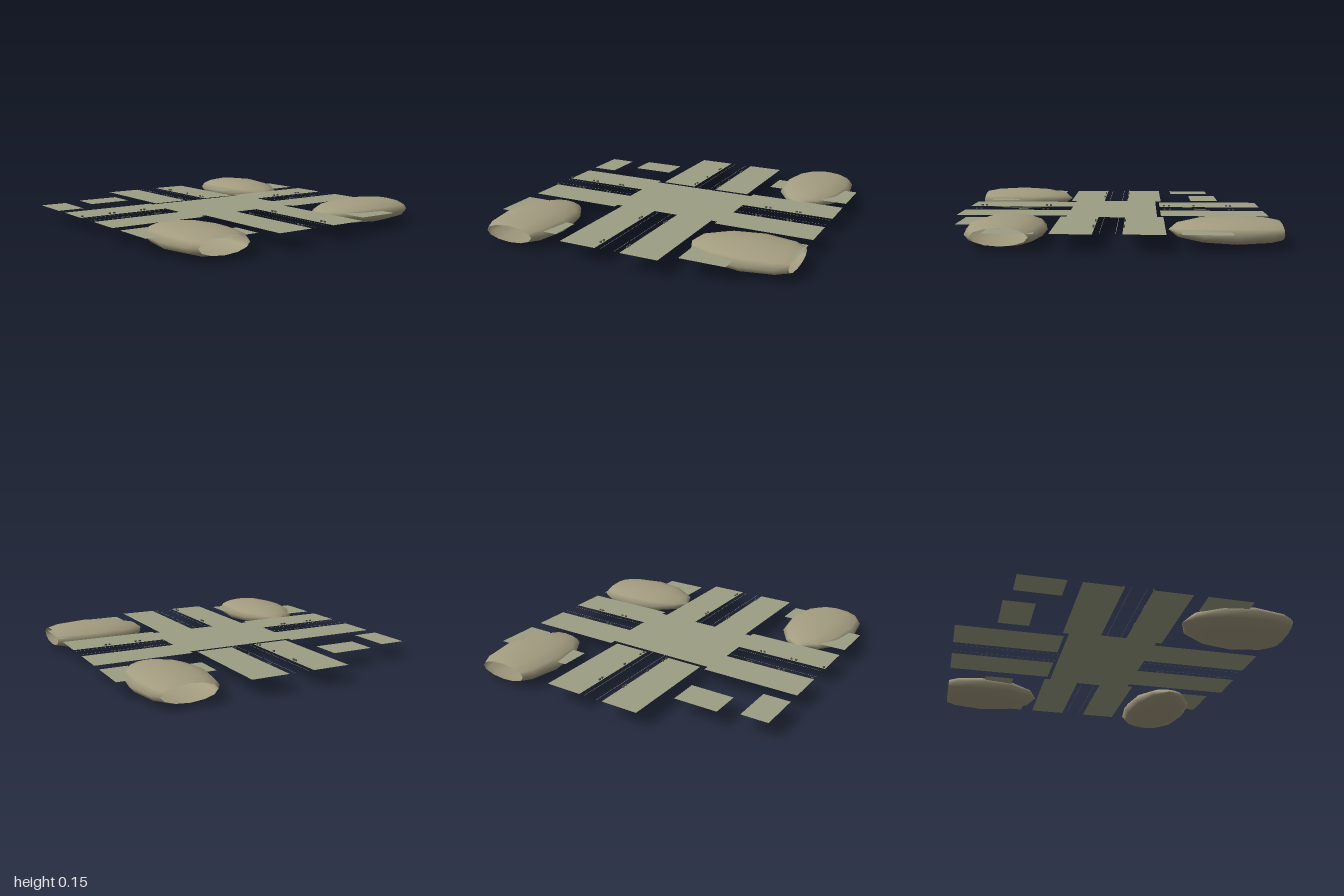
import * as THREE from 'three';

const GROUND = 0.1; // height of the paved sheets
const paving = new THREE.MeshStandardMaterial({ color: 0x9c9e84, side: THREE.DoubleSide });
const foliage = new THREE.MeshStandardMaterial({ color: 0xa39c80, side: THREE.DoubleSide });
const dark = new THREE.MeshStandardMaterial({ color: 0x55564a });

export function createModel() {
  const model = new THREE.Group();
  const add = (name, geometry, material) => {
    const mesh = new THREE.Mesh(geometry, material);
    mesh.name = name;
    model.add(mesh);
    return mesh;
  };

  // Flat rectangle given by its x and z limits
  const sheet = (name, x0, x1, z0, z1) => {
    const g = new THREE.PlaneGeometry(x1 - x0, z1 - z0).rotateX(-Math.PI / 2);
    add(name, g, paving).position.set((x0 + x1) / 2, GROUND, (z0 + z1) / 2);
  };

  // Crossing in the middle, with a tab towards each side street
  sheet('crossing', -0.367, 0.364, -0.29, 0.285);
  sheet('crossingTabLeft', 0.364, 0.387, -0.087, 0.08);
  sheet('crossingTabRight', -0.39, -0.367, -0.087, 0.08);

  // Paired strips of the four streets
  for (const [z0, z1] of [[-1, -0.315], [0.285, 1]]) {
    sheet('streetStrip', -0.328, -0.085, z0, z1);
    sheet('streetStrip', 0.08, 0.324, z0, z1);
  }
  for (const [x0, x1] of [[-1, -0.367], [0.364, 1]]) {
    sheet('sideStreetStrip', x0, x1, -0.33, -0.087);
    sheet('sideStreetStrip', x0, x1, 0.08, 0.322);
  }

  // Two separate plots in each corner block
  for (const [z0, z1, z2, z3] of [[-0.7, -0.417, -0.745, -0.55], [0.41, 0.697, 0.72, 0.918]]) {
    sheet('outerPlot', -1, -0.825, z0, z1);
    sheet('outerPlot', 0.825, 1, z0, z1);
    sheet('innerPlot', -0.7, -0.415, z2, z3);
    sheet('innerPlot', 0.41, 0.697, z2, z3);
  }

  // Flattened spheroids, pointed inwards and cut open at the outer border
  const makeMound = (x, z, turn, cut) => {
    const R = 0.242, L = 0.39;
    const ring = (deg) => {
      const a = THREE.MathUtils.degToRad(deg);
      return new THREE.Vector2(R * Math.sin(a), L * Math.cos(a));
    };
    const last = ring(150), before = ring(120);
    const rim = before.clone().lerp(last, (before.y + cut) / (before.y - last.y));
    const profile = [rim, ring(120), ring(90), ring(60), ring(30), new THREE.Vector2(0, L)];
    const g = new THREE.LatheGeometry(profile, 12);
    g.scale(1, 1, 0.077 / R).rotateX(Math.PI / 2);
    const mound = add('mound', g, foliage);
    mound.position.set(x, 0.08, z);
    mound.rotation.y = turn;
  };
  makeMound(0.7, -0.74, 0, 0.26);
  makeMound(-0.703, 0.737, Math.PI, 0.263);
  makeMound(0.732, 0.6, -Math.PI / 2, 0.268);

  // Hairline kerbs that turn the four corners of the crossing
  const near = 0.0445, far = 0.998, r = 0.04, w = 0.0025;
  const kerb = new THREE.Shape();
  kerb.moveTo(near, far);
  kerb.lineTo(near, near + r);
  kerb.absarc(near + r, near + r, r, Math.PI, Math.PI * 1.5, false);
  kerb.lineTo(far, near);
  kerb.lineTo(far, near + w);
  kerb.lineTo(near + r, near + w);
  kerb.absarc(near + r, near + r, r - w, Math.PI * 1.5, Math.PI, true);
  kerb.lineTo(near + w, far);
  const kerbGeometry = new THREE.ShapeGeometry(kerb, 6).rotateX(-Math.PI / 2);
  for (let i = 0; i < 4; i++) {
    const line = add('kerbLine', kerbGeometry, paving);
    line.position.set(-0.003, GROUND + 0.001, -0.004);
    line.rotation.y = (i * Math.PI) / 2;
  }

  // Tiny street furniture along the strip edges
  const item = new THREE.BoxGeometry(0.008, 0.01, 0.013);
  const place = (x, z, turned) => {
    const mesh = add('streetFurniture', item, dark);
    mesh.position.set(x, GROUND + 0.009, z);
    if (turned) mesh.rotation.y = Math.PI / 2;
  };
  for (const side of [-0.092, 0.086]) {
    for (const z of [-0.8, -0.775, -0.55, -0.38, -0.345, 0.44, 0.47, 0.89, 0.92]) place(side, z, false);
    for (const x of [-0.99, -0.8, -0.768, -0.575, -0.55, 0.55, 0.58, 0.76, 0.785]) place(x, side, true);
  }

  return model;
}
